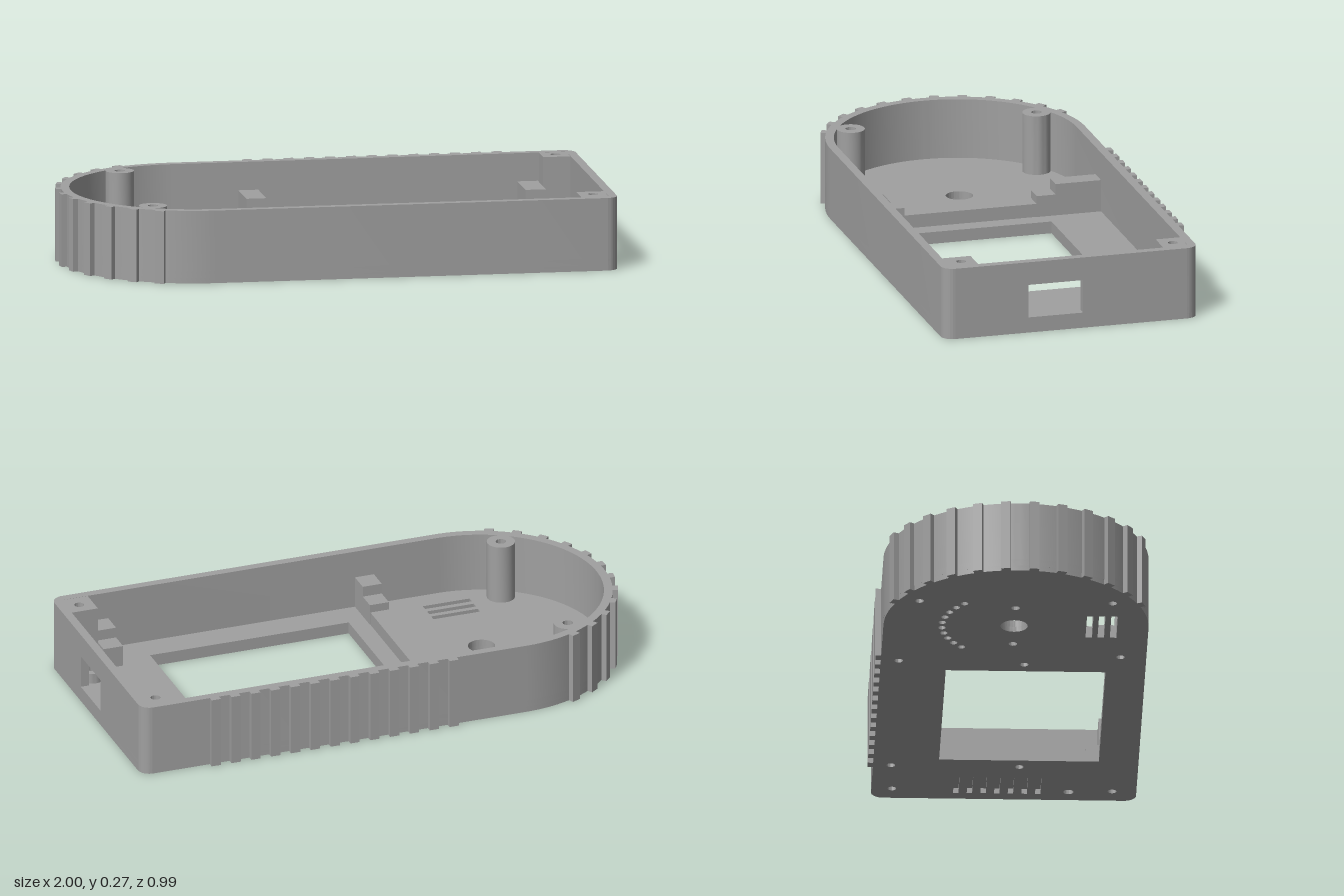
import * as THREE from 'three';
import { toCreasedNormals } from 'three/addons/utils/BufferGeometryUtils.js';

const H = 0.27, FLOOR = 0.045, WALL = 0.032, BLIND = 0.02;
const XC = -0.497, ZC = 0.01, R = 0.485, CORNER = 0.045;

// Plan shapes are drawn as (x, z)
function rect(x0, x1, z0, z1, Type = THREE.Path) {
  const p = new Type();
  p.moveTo(x0, z0);
  p.lineTo(x1, z0);
  p.lineTo(x1, z1);
  p.lineTo(x0, z1);
  p.closePath();
  return p;
}

function circle(x, z, r, Type = THREE.Path) {
  const p = new Type();
  p.absarc(x, z, r, 0, Math.PI * 2, false);
  return p;
}

// Rounded far end, two small corners at the port end
function outline() {
  const s = new THREE.Shape(), c = CORNER;
  s.moveTo(1, ZC + R - c);
  s.absarc(1 - c, ZC + R - c, c, 0, Math.PI / 2, false);
  s.lineTo(XC, ZC + R);
  s.absarc(XC, ZC, R, Math.PI / 2, Math.PI * 1.5, false);
  s.lineTo(1 - c, ZC - R);
  s.absarc(1 - c, ZC - R + c, c, -Math.PI / 2, 0, false);
  return s;
}

export function createModel() {
  const group = new THREE.Group();
  const grey = new THREE.MeshStandardMaterial({ color: 0xa0a0a0 });
  grey.name = 'grey plastic';

  const add = (name, geo) => {
    const m = new THREE.Mesh(geo, grey);
    m.name = name;
    group.add(m);
    return m;
  };
  const slab = (name, shape, y0, y1, holes = [], segs = 40) => {
    shape.holes.push(...holes);
    const g = new THREE.ExtrudeGeometry(shape, { depth: y1 - y0, bevelEnabled: false, curveSegments: segs });
    g.rotateX(Math.PI / 2).translate(0, y1, 0);
    return add(name, toCreasedNormals(g, 0.5));
  };
  const box = (name, x0, x1, y0, y1, z0, z1) => {
    const g = new THREE.BoxGeometry(x1 - x0, y1 - y0, z1 - z0);
    return add(name, g.translate((x0 + x1) / 2, (y0 + y1) / 2, (z0 + z1) / 2));
  };

  // Openings that pass right through the floor
  const openings = () => [
    rect(-0.11, 0.664, -0.235, 0.35),
    circle(-0.5, 0.003, 0.05),
    circle(0.93, 0.246, 0.019),
    ...[0.267, 0.311, 0.356].map((z) => rect(-0.592, -0.41, z, z + 0.024)),
  ];

  // Shallow recesses on the underside
  const recesses = [];
  for (const [x, z] of [[0.92, -0.4], [0.92, 0.406], [-0.706, -0.35], [-0.706, 0.357],
    [0.718, -0.41], [-0.187, -0.41], [-0.242, 0.4], [0.719, 0.06], [-0.167, 0.05],
    [-0.345, 0.003], [-0.655, 0.003]]) recesses.push(circle(x, z, 0.016));
  for (let i = 0; i < 10; i++) {
    const a = Math.PI * (1.25 + (0.5 * i) / 9);
    recesses.push(circle(-0.5 + 0.265 * Math.cos(a), 0.003 + 0.265 * Math.sin(a), 0.014));
  }
  for (let i = 0; i < 7; i++) {
    const z = -0.175 + i * 0.05;
    recesses.push(rect(0.815, 0.95, z, z + 0.02));
  }
  slab('floorUnderside', outline(), 0, BLIND, [...openings(), ...recesses], 24);
  slab('floor', outline(), BLIND, FLOOR, openings());

  // U-shaped side wall
  const wall = outline(), inX = 1 - WALL, ri = R - WALL, end = R - CORNER;
  wall.lineTo(inX, ZC - end);
  wall.lineTo(inX, ZC - ri);
  wall.lineTo(XC, ZC - ri);
  wall.absarc(XC, ZC, ri, Math.PI * 1.5, Math.PI / 2, true);
  wall.lineTo(inX, ZC + ri);
  wall.lineTo(inX, ZC + end);
  slab('sideWall', wall, FLOOR, H);

  // End wall with the port opening, drawn as (-z, y)
  const endShape = rect(-ZC - end, -ZC + end, FLOOR, H, THREE.Shape);
  endShape.holes.push(rect(-0.172, 0.035, 0.058, 0.183));
  const endGeo = new THREE.ExtrudeGeometry(endShape, { depth: WALL, bevelEnabled: false });
  add('endWall', endGeo.rotateY(Math.PI / 2).translate(inX, 0, 0));

  // Grip ribs along the back and around the rounded end
  for (let i = 0; i < 13; i++) {
    const x = -0.21 + i * 0.0773;
    box('backRib', x - 0.018, x + 0.018, 0, H, -0.495, -0.465);
  }
  for (let i = 0; i < 12; i++) {
    const a = THREE.MathUtils.degToRad(-66 + i * 12);
    const rib = add('endRib', new THREE.BoxGeometry(0.035, H, 0.035));
    rib.position.set(XC - (R + 0.0025) * Math.cos(a), H / 2, ZC + (R + 0.0025) * Math.sin(a));
    rib.rotation.y = Math.PI / 2 + a;
  }

  // Screw posts and the low boss beside the port
  for (const z of [-0.35, 0.357]) {
    slab('screwPost', circle(-0.706, z, 0.052, THREE.Shape), FLOOR, H, [circle(-0.706, z, 0.019)], 16);
  }
  slab('lowBoss', circle(0.93, 0.246, 0.043, THREE.Shape), FLOOR, 0.085, [circle(0.93, 0.246, 0.019)], 16);

  // Square corner posts
  slab('cornerPost', rect(0.866, inX + 0.005, ZC - ri - 0.005, -0.35, THREE.Shape), FLOOR, H - 0.0005,
    [circle(0.92, -0.4, 0.018)], 16);
  slab('cornerPost', rect(0.866, inX + 0.005, 0.355, ZC + ri + 0.005, THREE.Shape), FLOOR, H - 0.0005,
    [circle(0.92, 0.406, 0.018)], 16);

  // Cross bar and stepped display supports
  box('crossBar', -0.267, -0.178, FLOOR, 0.095, ZC - ri, ZC + ri);
  for (const [x0, x1] of [[-0.25, -0.176], [0.786, 0.862]]) {
    box('supportBlock', x0, x1, FLOOR, 0.165, ZC - ri, -0.27);
    box('supportStep', x0, x1, FLOOR, 0.125, -0.27, -0.198);
    box('supportBlock', x0, x1, FLOOR, 0.165, 0.38, ZC + ri);
    box('supportStep', x0, x1, FLOOR, 0.125, 0.305, 0.38);
  }
  return group;
}
